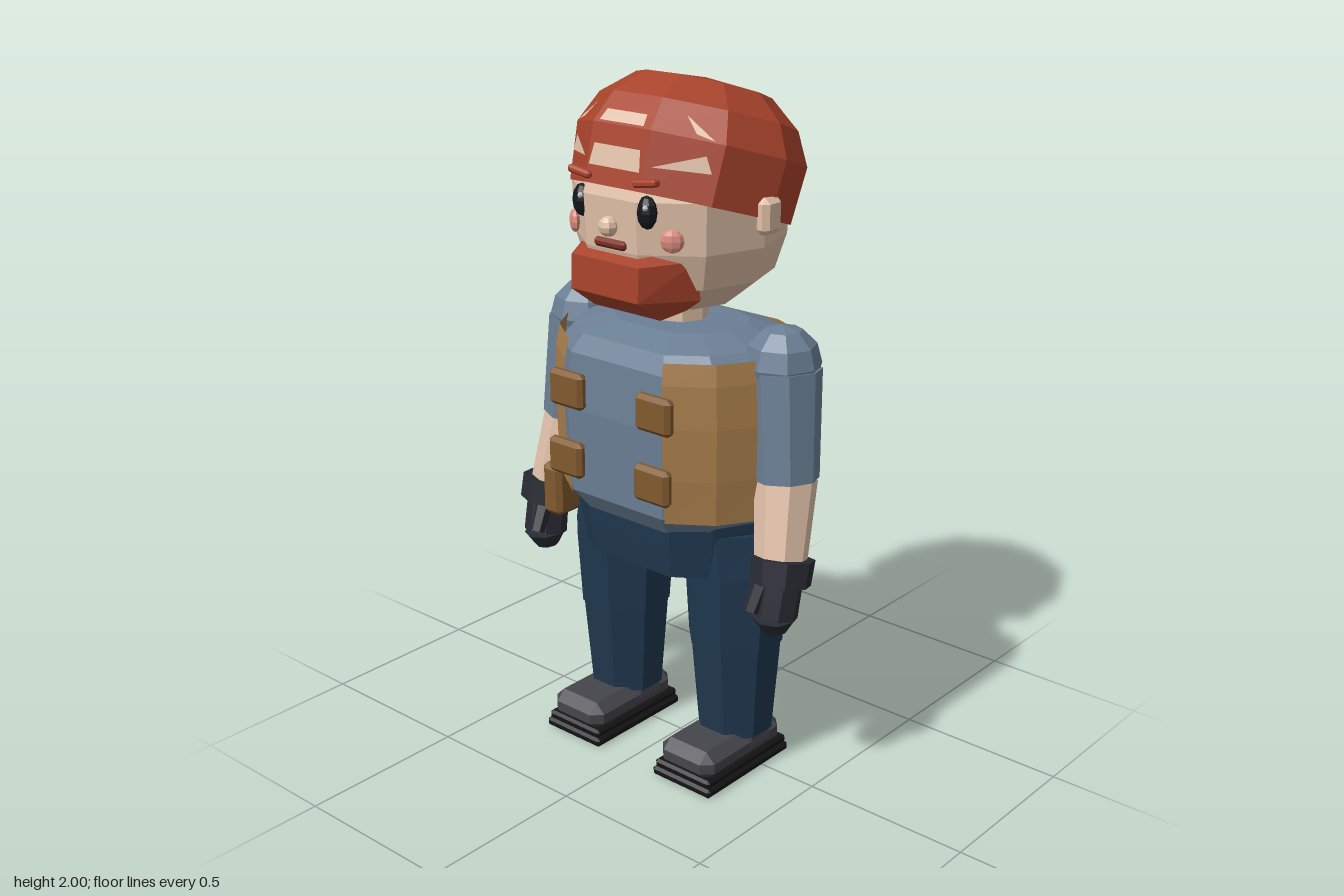
import * as THREE from 'three';
import { ConvexGeometry } from 'three/addons/geometries/ConvexGeometry.js';

const mat = (color) => new THREE.MeshStandardMaterial({ color, flatShading: true, side: THREE.DoubleSide });
const M = {
  hair: mat(0xa8432b), lip: mat(0x7c2d20), skin: mat(0xe0c0a8), cheek: mat(0xd98c7c), eye: mat(0x14161c), glint: mat(0xffffff),
  shirt: mat(0x6b7f95), vest: mat(0xa87e4c), pouch: mat(0x80592f), pants: mat(0x20384f),
  glove: mat(0x292b34), shoe: mat(0x45454c), sole: mat(0x141416),
};
const V = (x, y, z) => new THREE.Vector3(x, y, z);

function add(parent, name, geo, material, x = 0, y = 0, z = 0) {
  const mesh = new THREE.Mesh(geo, material);
  mesh.name = name;
  mesh.position.set(x, y, z);
  parent.add(mesh);
  return mesh;
}

// Regular polygon outline, first side facing front
const polygon = (n) => Array.from({ length: n }, (_, j) => {
  const a = (j - 0.5) * 2 * Math.PI / n;
  return [Math.sin(a), Math.cos(a)];
});

// Skin an [x, z] outline over rings of [y, scaleX, scaleZ, offsetX, offsetZ]
function loft(outline, rings, closed = true) {
  const pos = [];
  const at = (i, j) => {
    const [y, sx, sz = sx, ox = 0, oz = 0] = rings[i], p = outline[j % outline.length];
    return [p[0] * sx + ox, y, p[1] * sz + oz];
  };
  const sides = closed ? outline.length : outline.length - 1;
  const last = rings.length - 1;
  for (let j = 0; j < sides; j++) {
    for (let i = 0; i < last; i++) {
      const a = at(i, j), b = at(i, j + 1), c = at(i + 1, j + 1), d = at(i + 1, j);
      pos.push(...a, ...b, ...c, ...a, ...c, ...d);
    }
    if (closed) {
      const mid = (i) => [rings[i][3] || 0, rings[i][0], rings[i][4] || 0];
      pos.push(...mid(last), ...at(last, j), ...at(last, j + 1));
      pos.push(...mid(0), ...at(0, j + 1), ...at(0, j));
    }
  }
  const g = new THREE.BufferGeometry();
  g.setAttribute('position', new THREE.Float32BufferAttribute(pos, 3));
  g.computeVertexNormals();
  return g;
}

// Box with chamfered edges
function chamferBox(w, h, d, c) {
  const pts = [];
  for (const x of [-1, 1]) for (const y of [-1, 1]) for (const z of [-1, 1]) {
    const a = x * w / 2, b = y * h / 2, e = z * d / 2;
    pts.push(V(a - x * c, b - y * c, e), V(a - x * c, b, e - z * c), V(a, b - y * c, e - z * c));
  }
  return new ConvexGeometry(pts);
}

// Tapered eight-sided tube between two points
function limb(parent, name, a, b, ra, rb, material, sides = 8) {
  const mesh = add(parent, name, new THREE.CylinderGeometry(ra, rb, a.distanceTo(b), sides), material);
  mesh.position.copy(a).lerp(b, 0.5);
  mesh.quaternion.setFromUnitVectors(V(0, 1, 0), a.clone().sub(b).normalize());
  return mesh;
}

function buildHead(root) {
  const head = new THREE.Group();
  head.name = 'head';
  root.add(head);
  const ten = polygon(10);
  add(head, 'neck', new THREE.CylinderGeometry(0.08, 0.08, 0.14, 8), M.skin, 0, 1.34, 0);
  add(head, 'skull', loft(ten, [[1.38, 0.16], [1.46, 0.26], [1.56, 0.292], [1.7, 0.298], [1.8, 0.26], [1.88, 0.15]]), M.skin);

  // Hair cap, tilted back
  const cap = new THREE.Group();
  cap.name = 'hair';
  cap.position.set(0, 1.677, -0.01);
  cap.rotation.x = -Math.PI / 10;
  head.add(cap);
  const rings = [[-0.04, 0.312, 0.3], [0.12, 0.325, 0.31], [0.21, 0.28, 0.268], [0.282, 0.19, 0.185], [0.302, 0.001, 0.001]];
  add(cap, 'hairCap', loft(ten, rings), M.hair);

  // Skin patches showing through the hair, placed on a facet by [across, up]
  const patch = (face, band, corners) => {
    const p = corners.map(([u, v]) => {
      const row = (k) => {
        const [y, sx, sz] = rings[k];
        const e = (j) => V(ten[j % 10][0] * sx, y, ten[j % 10][1] * sz);
        return e(face).lerp(e(face + 1), u);
      };
      return row(band).lerp(row(band + 1), v).multiplyScalar(1.015);
    });
    const g = new THREE.BufferGeometry().setFromPoints(p);
    g.setIndex(p.length === 4 ? [0, 1, 2, 0, 2, 3] : [0, 1, 2]);
    g.computeVertexNormals();
    add(cap, 'foreheadPatch', g, M.skin);
  };
  patch(0, 0, [[0.05, 0.3], [0.95, 0.3], [0.9, 0.65], [0.1, 0.65]]);
  patch(0, 1, [[0.12, 0.05], [0.88, 0.05], [0.86, 0.4], [0.14, 0.4]]);
  for (const s of [1, -1]) {
    const face = s > 0 ? 1 : 9;
    const wedge = (band, pts) => patch(face, band, (s > 0 ? pts : pts.map(([u, v]) => [1 - u, v]).reverse()));
    wedge(0, [[0.1, 0.42], [0.9, 0.5], [0.78, 0.76]]);
    wedge(1, [[0.85, 0.02], [0.6, 0.12], [0.42, 0.6]]);

    // Face features in pairs
    add(head, 'ear', chamferBox(0.045, 0.1, 0.075, 0.015), M.skin, s * 0.305, 1.65, 0);
    add(head, 'eye', new THREE.SphereGeometry(1, 8, 6), M.eye, s * 0.115, 1.675, 0.265).scale.set(0.032, 0.045, 0.022);
    add(head, 'eyeGlint', new THREE.SphereGeometry(0.008, 6, 4), M.glint, s * 0.115 + 0.012, 1.692, 0.285);
    add(head, 'eyebrow', chamferBox(0.08, 0.02, 0.03, 0.006), M.hair, s * 0.115, 1.752, 0.268).rotation.z = s * 0.15;
    const cheek = add(head, 'cheek', new THREE.SphereGeometry(1, 8, 6), M.cheek, s * 0.175, 1.603, 0.235);
    cheek.scale.set(0.032, 0.032, 0.014);
    cheek.rotation.y = s * 0.6;
  }
  add(head, 'nose', new THREE.SphereGeometry(0.028, 8, 6), M.skin, 0, 1.625, 0.288);
  add(head, 'mouth', chamferBox(0.11, 0.025, 0.04, 0.008), M.lip, 0, 1.577, 0.272);

  // Beard
  const b = [];
  for (const s of [1, -1]) {
    b.push(V(s * 0.12, 1.56, 0.25), V(s * 0.12, 1.535, 0.305), V(s * 0.2, 1.54, 0.17), V(s * 0.2, 1.43, 0.15),
      V(s * 0.12, 1.44, 0.31), V(s * 0.12, 1.375, 0.22), V(s * 0.1, 1.37, 0.09), V(s * 0.04, 1.355, 0.17));
  }
  add(head, 'beard', new ConvexGeometry(b), M.hair);
}

function buildTorso(root) {
  const half = [[0.18, 0.285], [0.3, 0.2], [0.378, 0.07], [0.378, -0.08], [0.3, -0.2], [0.16, -0.255]];
  const outline = [...half, ...half.map(([x, z]) => [-x, z]).reverse()];
  add(root, 'shirt', loft(outline, [[0.77, 0.8, 0.8], [0.83, 0.93, 0.95], [1.08, 0.97, 0.985], [1.24, 0.94, 0.94],
    [1.29, 0.82, 0.84], [1.32, 0.55, 0.52]]), M.shirt);
  add(root, 'vest', loft(outline, [[0.82, 0.965, 0.94], [0.95, 0.99, 0.985], [1.1, 1, 1], [1.22, 0.985, 0.99], [1.28, 0.96, 0.95]], false), M.vest);
  add(root, 'pelvis', loft(outline, [[0.63, 0.79, 0.74], [0.72, 0.83, 0.78], [0.8, 0.87, 0.8]]), M.pants);

  // Chest pouches with flaps
  for (const s of [1, -1]) for (const y of [1.14, 0.94]) {
    const z = y > 1 ? 0.292 : 0.3;
    add(root, 'chestPouch', chamferBox(0.125, 0.105, 0.035, 0.012), M.pouch, s * 0.16, y, z);
  }
  add(root, 'hipPouch', chamferBox(0.075, 0.16, 0.11, 0.015), M.pouch, -0.35, 0.75, 0.13);
}

function buildArm(root, s) {
  const arm = new THREE.Group();
  arm.name = s > 0 ? 'leftArm' : 'rightArm';
  root.add(arm);
  const P = (x, y, z) => V(s * x, y, z);
  const elbow = P(0.4, 0.94, 0.025), wrist = P(0.43, 0.73, 0.08);
  add(arm, 'shoulder', new THREE.SphereGeometry(0.108, 8, 6), M.shirt, s * 0.36, 1.255, 0);
  limb(arm, 'sleeve', P(0.37, 1.24, 0.003), elbow, 0.104, 0.092, M.shirt);
  limb(arm, 'forearm', elbow, wrist, 0.088, 0.074, M.skin);
  limb(arm, 'gloveCuff', P(0.44, 0.735, 0.083), P(0.446, 0.665, 0.1), 0.09, 0.084, M.glove);
  limb(arm, 'hand', P(0.446, 0.68, 0.098), P(0.442, 0.575, 0.118), 0.062, 0.064, M.glove);
  limb(arm, 'fingers', P(0.442, 0.576, 0.118), P(0.44, 0.53, 0.114), 0.064, 0.036, M.glove);
  limb(arm, 'thumb', P(0.415, 0.67, 0.15), P(0.41, 0.6, 0.185), 0.026, 0.022, M.glove, 6);
}

function buildLeg(root, s) {
  const leg = new THREE.Group();
  leg.name = s > 0 ? 'leftLeg' : 'rightLeg';
  root.add(leg);
  const eight = polygon(8);
  const x = s * 0.215;
  add(leg, 'thigh', loft(eight, [[0.4, 0.14, 0.142, x, 0.007], [0.63, 0.155, 0.158, x, 0.005], [0.76, 0.145, 0.16, s * 0.2, 0.005]]), M.pants);
  add(leg, 'shin', loft(eight, [[0.11, 0.112, 0.112, x, 0.005], [0.41, 0.136, 0.138, x, 0.007]]), M.pants);
  add(leg, 'sidePocket', chamferBox(0.05, 0.125, 0.105, 0.014), M.pants, s * 0.352, 0.57, 0);

  // Shoe with a two-layer sole
  add(leg, 'shoe', chamferBox(0.195, 0.09, 0.35, 0.03), M.shoe, x, 0.08, 0.07);
  add(leg, 'ankle', loft(eight, [[0.08, 0.108, 0.112, x, 0.005], [0.135, 0.1, 0.104, x, 0.005]]), M.shoe);
  add(leg, 'soleUpper', chamferBox(0.205, 0.026, 0.36, 0.008), M.sole, x, 0.039, 0.067);
  add(leg, 'soleLower', chamferBox(0.216, 0.028, 0.37, 0.008), M.sole, x, 0.014, 0.067);
}

export function createModel() {
  const root = new THREE.Group();
  root.name = 'figure';
  buildHead(root);
  buildTorso(root);
  for (const s of [1, -1]) {
    buildArm(root, s);
    buildLeg(root, s);
  }
  return root;
}
